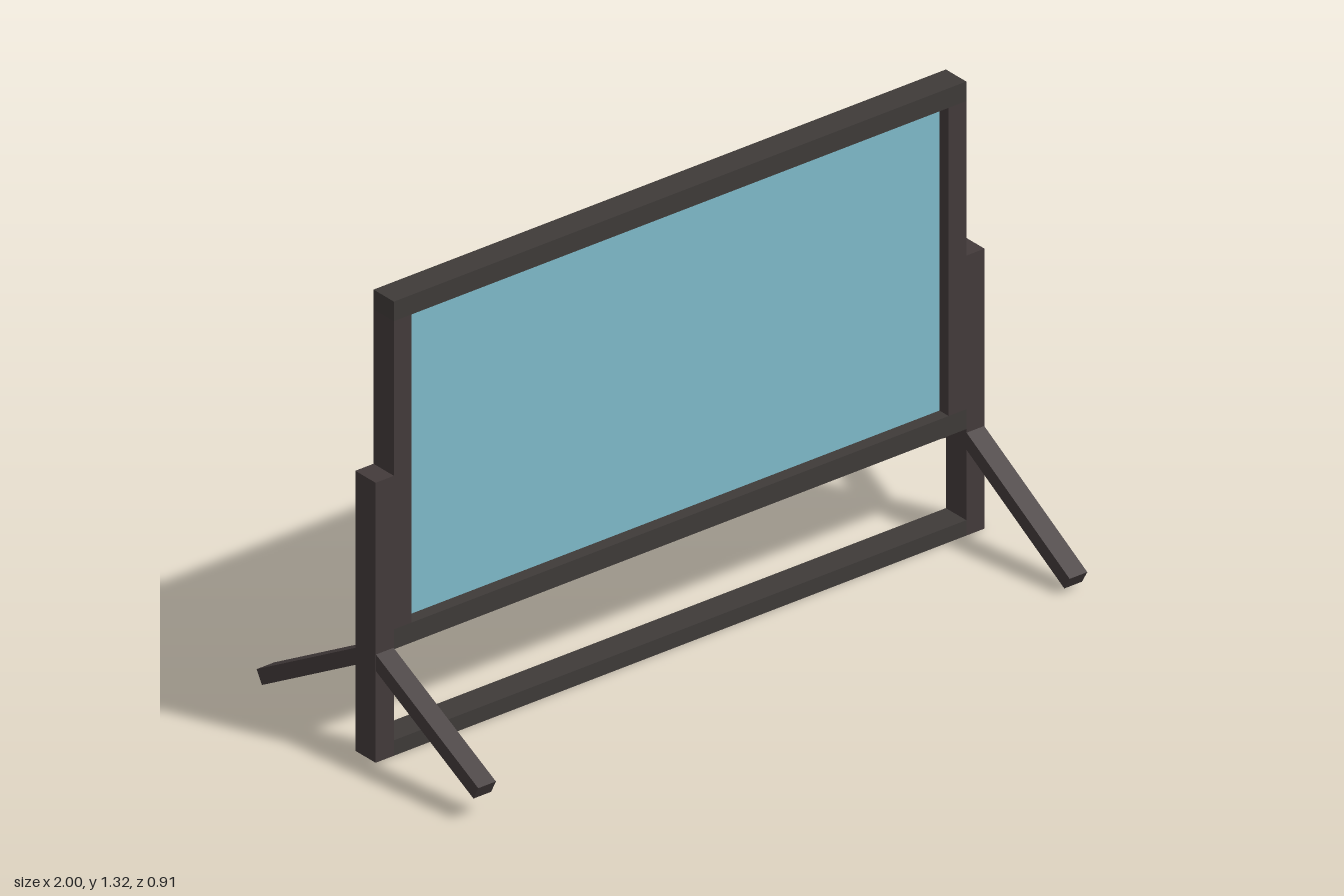
import * as THREE from 'three';

export function createModel() {
  const model = new THREE.Group();
  model.name = 'framedBoard';
  const frameMat = new THREE.MeshStandardMaterial({ color: 0x433b3b });
  frameMat.name = 'dark brown';
  const railMat = new THREE.MeshStandardMaterial({ color: 0x3f3b39 });
  railMat.name = 'dark grey';
  const glassMat = new THREE.MeshStandardMaterial({ color: 0x80bccb });
  glassMat.name = 'pale blue';

  const Z = -0.01, DEPTH = 0.083;

  // Axis-aligned bar given by its x and y extents
  function bar(name, x0, x1, y0, y1, material, depth = DEPTH) {
    const mesh = new THREE.Mesh(new THREE.BoxGeometry(x1 - x0, y1 - y0, depth), material);
    mesh.position.set((x0 + x1) / 2, (y0 + y1) / 2, Z);
    mesh.name = name;
    model.add(mesh);
  }

  // Strut sloping from the post down to the centre of its foot
  function leg(name, x, footY, footZ, degrees) {
    const angle = THREE.MathUtils.degToRad(degrees);
    const length = Math.abs(footZ) / Math.cos(angle);
    const mesh = new THREE.Mesh(new THREE.BoxGeometry(0.058, 0.043, length), frameMat);
    mesh.position.set(x, footY + length * Math.sin(angle) / 2, footZ / 2);
    mesh.rotation.x = Math.sign(footZ) * angle;
    mesh.name = name;
    model.add(mesh);
  }

  // Window frame and pane
  bar('topRail', -0.94, 0.94, 1.265, 1.322, railMat);
  bar('bottomRail', -0.94, 0.94, 0.31, 0.368, railMat);
  bar('pane', -0.882, 0.882, 0.368, 1.265, glassMat, 0.008);

  // Ground bar between the posts
  bar('groundBar', -0.94, 0.94, 0, 0.045, railMat);

  // Uprights, posts and legs on both sides
  for (const [side, s] of [['left', 1], ['right', -1]]) {
    const span = (a, b) => (s > 0 ? [a, b] : [-b, -a]);
    bar(side + 'Upright', ...span(0.882, 0.94), 0.368, 1.265, frameMat);
    bar(side + 'Post', ...span(0.94, 1), 0, 0.815, frameMat);
    leg(side + 'BackLeg', s * 0.97, 0.048, -0.444, 30);
  }
  leg('leftFrontLeg', 0.97, 0.033, 0.441, 30.5);
  leg('rightFrontLeg', -0.97, 0.083, 0.439, 27);

  return model;
}
